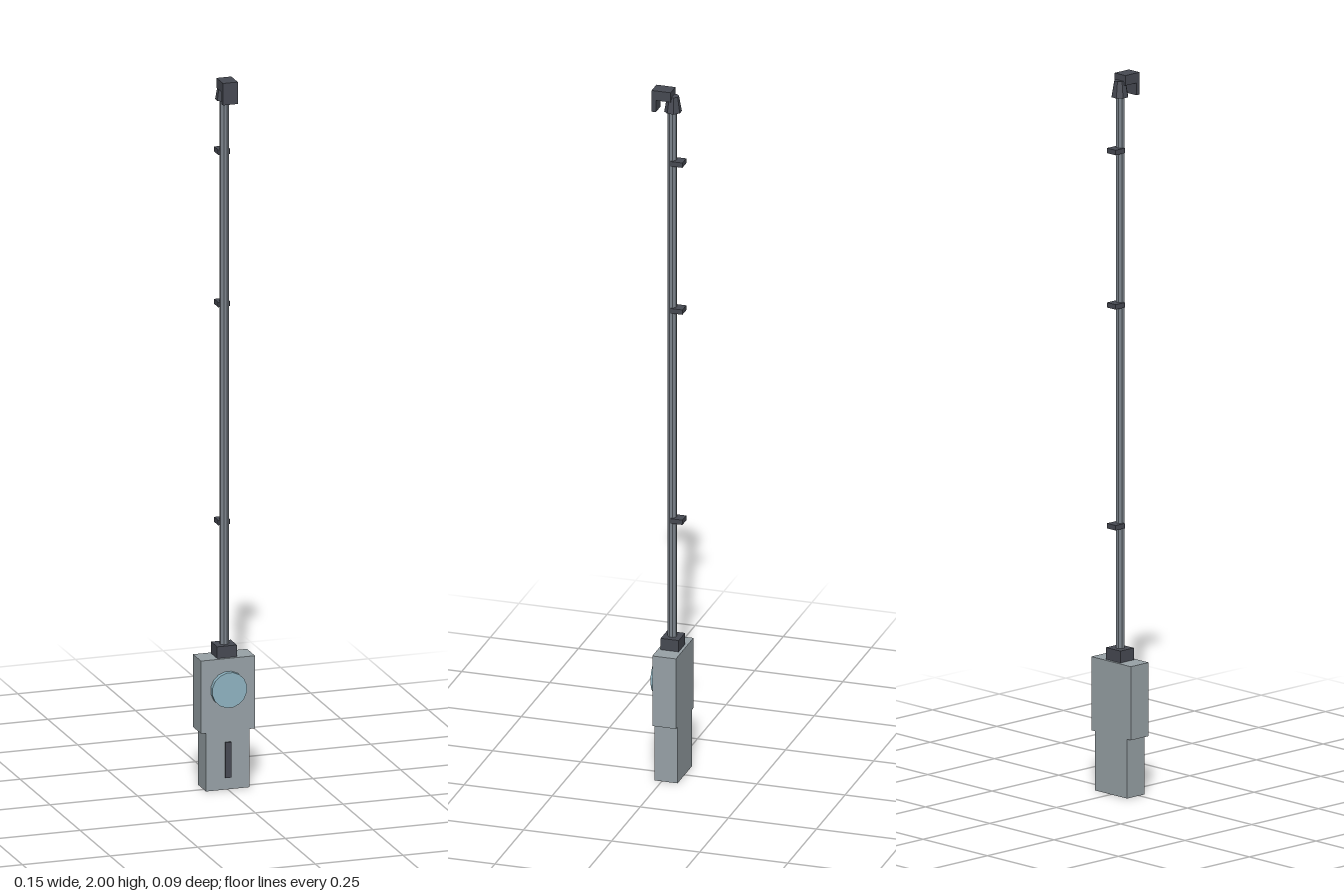
import * as THREE from 'three';

export function createModel() {
  const group = new THREE.Group();
  const material = (name, color) => {
    const m = new THREE.MeshStandardMaterial({ color });
    m.name = name;
    return m;
  };
  const boxGrey = material('boxGrey', 0x98a2a7);
  const pipeGrey = material('pipeGrey', 0x7d858d);
  const darkGrey = material('darkGrey', 0x474a53);
  const glassBlue = material('glassBlue', 0x8fb4c2);

  const add = (name, geometry, mat, x = 0, y = 0, z = 0) => {
    const mesh = new THREE.Mesh(geometry, mat);
    mesh.name = name;
    mesh.position.set(x, y, z);
    group.add(mesh);
    return mesh;
  };
  // Box given by half width and its y and z ranges
  const block = (name, mat, hw, y0, y1, z0, z1) =>
    add(name, new THREE.BoxGeometry(2 * hw, y1 - y0, z1 - z0), mat, 0, (y0 + y1) / 2, (z0 + z1) / 2);
  // Faceted cylinder with crisp sides
  const prism = (rTop, rBottom, height, sides) => {
    const g = new THREE.CylinderGeometry(rTop, rBottom, height, sides).toNonIndexed();
    g.computeVertexNormals();
    return g;
  };
  const poleZ = -0.01;

  // Meter cabinet
  block('lowerCabinet', boxGrey, 0.062, 0, 0.165, -0.045, 0.02);
  block('upperCabinet', boxGrey, 0.077, 0.165, 0.37, -0.045, 0.022);
  block('latchSlot', darkGrey, 0.008, 0.034, 0.134, 0.018, 0.026);

  // Round meter glass, turned so a flat side faces down
  const glass = prism(0.05, 0.05, 0.017, 16);
  glass.rotateY(Math.PI / 16).rotateX(Math.PI / 2);
  add('meterGlass', glass, glassBlue, 0, 0.284, 0.0275);

  // Conduit mast and its base collar
  block('baseCollar', darkGrey, 0.028, 0.37, 0.403, -0.037, 0.014);
  const mast = prism(0.0125, 0.0125, 1.56, 8);
  mast.rotateY(Math.PI / 8);
  add('mast', mast, pipeGrey, 0, 1.18, poleZ);

  // Wall clips
  for (const y of [0.745, 1.36, 1.79]) {
    block('wallClip', darkGrey, 0.017, y - 0.007, y + 0.007, -0.044, -0.01);
  }

  // Weather head: tapered cap, top slab and front lip
  const cap = prism(0.016, 0.024, 0.045, 8);
  cap.rotateY(Math.PI / 8);
  add('weatherCap', cap, darkGrey, 0, 1.9605, poleZ - 0.002);
  block('hoodTop', darkGrey, 0.021, 1.972, 2, -0.012, 0.042);
  block('hoodLip', darkGrey, 0.021, 1.938, 1.972, 0.03, 0.042);

  return group;
}
